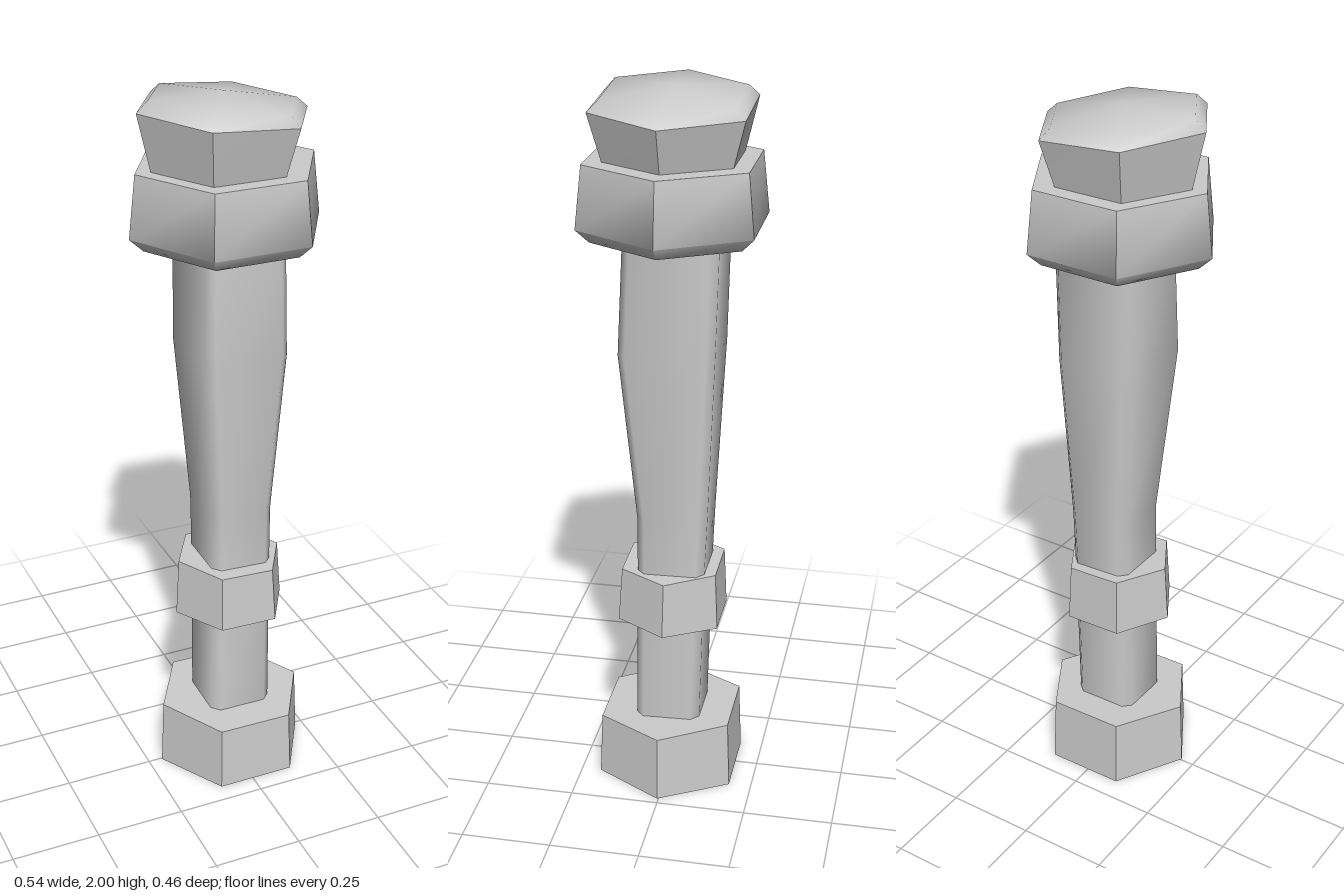
import * as THREE from 'three';
import { toCreasedNormals } from 'three/addons/utils/BufferGeometryUtils.js';

// Hexagon with corners on the x axis; tiltX / tiltZ slope its plane
function hex(y, r, cx = 0, cz = 0, tiltX = 0, tiltZ = 0) {
  return Array.from({ length: 6 }, (_, i) => {
    const a = (i * Math.PI) / 3;
    const x = r * Math.cos(a), z = -r * Math.sin(a);
    return [x + cx, y + tiltX * x + tiltZ * z, z + cz];
  });
}

// Rectangle with cut corners, counter-clockwise from above
function cutRect(y, x0, x1, z0, z1, b = 0.022) {
  return [
    [x1, z1 - b], [x1, z0 + b], [x1 - b, z0], [x0 + b, z0],
    [x0, z0 + b], [x0, z1 - b], [x0 + b, z1], [x1 - b, z1],
  ].map(([x, z]) => [x, y, z]);
}

// Skin a stack of rings, bottom to top, and cap the ends
function loft(name, rings, { bottom = true, apex = 0, side = THREE.FrontSide, crease = 50 } = {}) {
  const pos = [];
  const tri = (a, b, c) => pos.push(...a, ...b, ...c);
  const n = rings[0].length;
  const centre = (ring) => [0, 1, 2].map((k) => ring.reduce((s, p) => s + p[k], 0) / n);
  const low = centre(rings[0]);
  const topRing = rings[rings.length - 1];
  const high = centre(topRing);
  high[1] += apex;
  for (let i = 0; i < n; i++) {
    const j = (i + 1) % n;
    for (let k = 0; k + 1 < rings.length; k++) {
      const lo = rings[k], hi = rings[k + 1];
      tri(lo[i], lo[j], hi[j]);
      tri(lo[i], hi[j], hi[i]);
    }
    tri(high, topRing[i], topRing[j]);
    if (bottom) tri(low, rings[0][j], rings[0][i]);
  }
  const geo = new THREE.BufferGeometry();
  geo.setAttribute('position', new THREE.Float32BufferAttribute(pos, 3));
  const material = new THREE.MeshStandardMaterial({ color: 0xcccccc, side });
  const mesh = new THREE.Mesh(toCreasedNormals(geo, THREE.MathUtils.degToRad(crease)), material);
  mesh.name = name;
  return mesh;
}

export function createModel() {
  const group = new THREE.Group();
  group.name = 'column';

  // Hollow foot, open underneath
  group.add(loft('foot', [
    hex(0, 0.22, 0.01, 0.004),
    hex(0.193, 0.212, 0.01, 0.004, -0.01, -0.03),
  ], { bottom: false, side: THREE.DoubleSide }));

  // Slightly crooked shaft, swelling towards the top
  group.add(loft('shaft', [
    cutRect(0.18, -0.08, 0.102, -0.09, 0.092),
    cutRect(0.66, -0.073, 0.105, -0.103, 0.086),
    cutRect(0.82, -0.072, 0.106, -0.11, 0.086),
    cutRect(1.3, -0.108, 0.128, -0.131, 0.13),
    cutRect(1.62, -0.102, 0.127, -0.14, 0.115),
  ]));

  // Band around the lower shaft
  group.add(loft('band', [
    hex(0.498, 0.163, 0.008, 0, -0.02, 0.01),
    hex(0.66, 0.153, 0.008, -0.002, -0.04, -0.02),
  ]));

  // Wide collar with a chamfered underside
  group.add(loft('collar', [
    hex(1.607, 0.23),
    hex(1.643, 0.268),
    hex(1.812, 0.249),
  ]));

  // Flared, tilted cap with a shallow crown
  group.add(loft('cap', [
    hex(1.8, 0.193, -0.01, 0),
    hex(1.948, 0.234, -0.007, 0, -0.075, 0.01),
    hex(1.976, 0.203, -0.007, 0, -0.09, 0.015),
  ], { apex: 0.022 }));

  return group;
}
